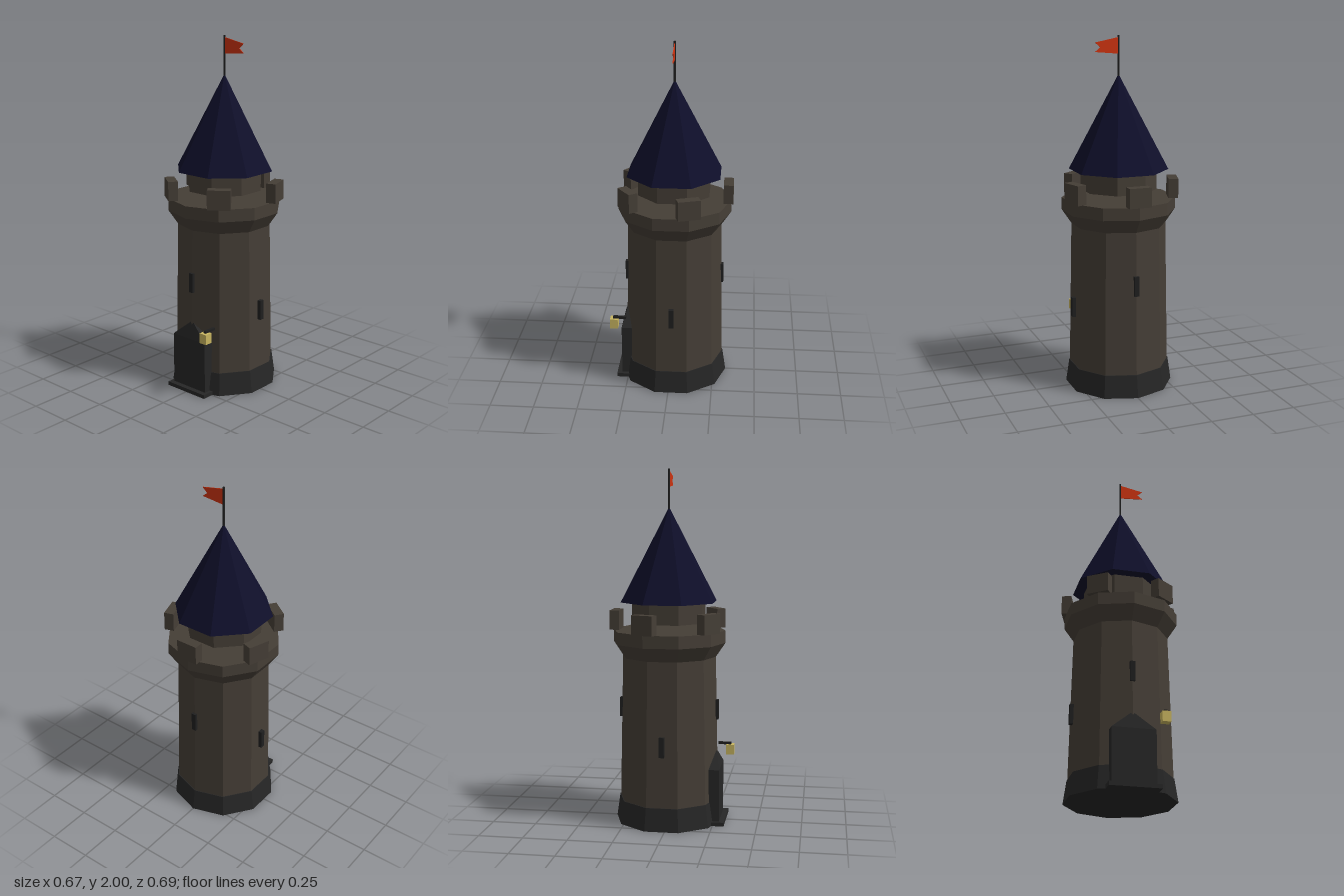
import * as THREE from 'three';

const mat = (name, color, extra = {}) => {
  const m = new THREE.MeshStandardMaterial({ color, flatShading: true, ...extra });
  m.name = name;
  return m;
};

export function createModel() {
  const stone = mat('stone', 0x453e36);
  const darkStone = mat('dark stone', 0x262626);
  const slate = mat('roof slate', 0x0f0f2a);
  const iron = mat('iron', 0x1f1f1f);
  const gold = mat('lantern gold', 0xc8b560);
  const red = mat('flag red', 0xcc3311);

  const model = new THREE.Group();
  model.name = 'watchTower';
  const tower = new THREE.Group(); // everything on the tower axis
  tower.name = 'tower';
  tower.position.z = -0.017;
  model.add(tower);

  const add = (parent, name, geometry, material, x = 0, y = 0, z = 0) => {
    const mesh = new THREE.Mesh(geometry, material);
    mesh.name = name;
    mesh.position.set(x, y, z);
    parent.add(mesh);
    return mesh;
  };
  // Tapered prism between two heights
  const ring = (name, r0, r1, y0, y1, sides, material, turn = 0) => {
    const g = new THREE.CylinderGeometry(r1, r0, y1 - y0, sides);
    add(tower, name, g, material, 0, (y0 + y1) / 2).rotation.y = turn;
  };
  // Box standing off the axis, facing outwards
  const radialBox = (name, w, h, d, angle, radius, y, material) => {
    const g = new THREE.BoxGeometry(w, h, d);
    add(tower, name, g, material, Math.sin(angle) * radius, y, Math.cos(angle) * radius).rotation.y = angle;
  };

  // Ten-sided shaft and parapet
  ring('base', 0.308, 0.289, 0, 0.13, 10, darkStone);
  ring('shaft', 0.285, 0.268, 0.13, 0.95, 10, stone);
  ring('corbel', 0.268, 0.322, 0.95, 1.03, 10, stone);
  ring('parapet', 0.322, 0.322, 1.03, 1.1, 10, stone);

  // Five merlons, one at the back
  for (let i = 0; i < 5; i++) {
    radialBox('merlon', 0.127, 0.11, 0.055, Math.PI + (i * Math.PI * 2) / 5, 0.305, 1.155, stone);
  }

  // Eight-sided turret and roof
  ring('turret', 0.215, 0.215, 1.145, 1.27, 8, stone, Math.PI / 8);
  const roof = new THREE.ConeGeometry(0.28, 0.53, 8);
  add(tower, 'roof', roof, slate, 0, 1.525).rotation.y = Math.PI / 8;

  // Flagpole and swallow-tailed flag
  ring('flagpole', 0.006, 0.006, 1.77, 2, 6, iron);
  const flag = new THREE.Shape([
    [0, 1.9], [0.137, 1.912], [0.106, 1.937], [0.137, 1.963], [0, 1.99],
  ].map(([x, y]) => new THREE.Vector2(x, y)));
  add(tower, 'flag', new THREE.ExtrudeGeometry(flag, { depth: 0.004, bevelEnabled: false }), red, 0, 0, -0.002);

  // Arrow slits: high at front and back, low on the sides
  for (let i = 0; i < 4; i++) {
    radialBox('arrowSlit', 0.028, 0.113, 0.022, (i * Math.PI) / 2, 0.274, i % 2 ? 0.477 : 0.647, iron);
  }

  // Door with pointed top, and doorstep
  add(model, 'door', new THREE.BoxGeometry(0.24, 0.32, 0.06), darkStone, 0, 0.16, 0.256);
  const peak = new THREE.ConeGeometry(Math.SQRT1_2, 0.1, 4, 1).rotateY(Math.PI / 4).scale(0.24, 1, 0.06);
  add(model, 'doorPeak', peak, darkStone, 0, 0.37, 0.256);
  add(model, 'doorstep', new THREE.BoxGeometry(0.28, 0.022, 0.09), darkStone, 0, 0.011, 0.27);

  // Lantern hanging from its bracket
  add(model, 'lanternArm', new THREE.BoxGeometry(0.016, 0.014, 0.075), iron, 0.16, 0.413, 0.29);
  add(model, 'lantern', new THREE.BoxGeometry(0.047, 0.058, 0.046), gold, 0.16, 0.378, 0.322);

  return model;
}
